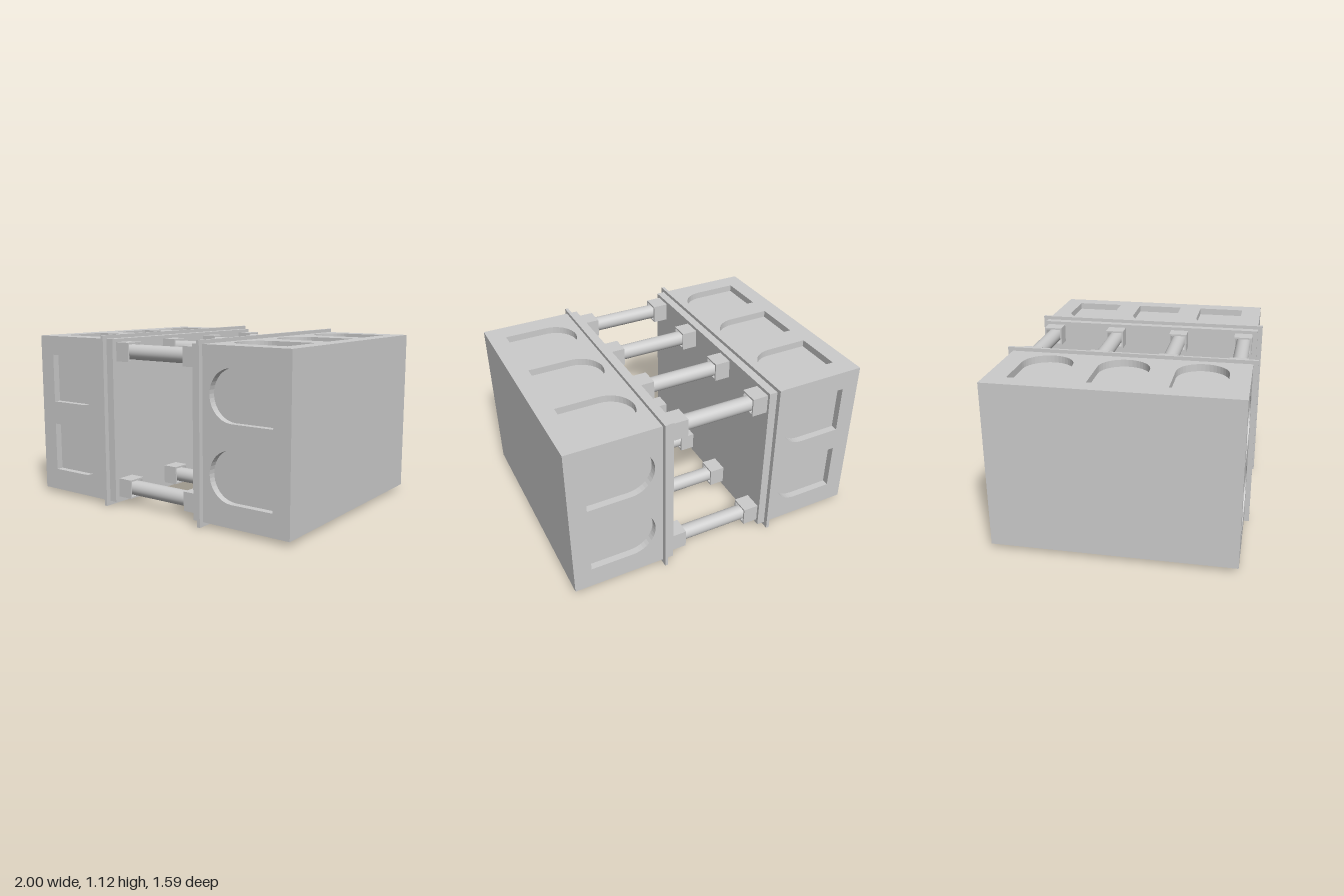
import * as THREE from 'three';

const grey = new THREE.MeshStandardMaterial({ color: 0xcccccc, side: THREE.DoubleSide });
const smooth = grey;

const BLOCK = { inner: 0.323, outer: 1, height: 1.064, depth: 1.526, midY: 0.56 };
const RECESS = 0.045;

function part(name, geometry, parent, x = 0, y = 0, z = 0) {
  const mesh = new THREE.Mesh(geometry, grey);
  mesh.name = name;
  mesh.position.set(x, y, z);
  parent.add(mesh);
  return mesh;
}

// Pocket outline: square outer end, rounded end towards the middle
function pocketPoints(side, v) {
  const half = 0.16;
  const pts = [new THREE.Vector2(side * 0.885, v - half), new THREE.Vector2(side * 0.885, v + half)];
  for (let i = 0; i <= 20; i++) {
    const a = Math.PI / 2 - (i / 20) * Math.PI;
    pts.push(new THREE.Vector2(side * (0.605 - 0.158 * Math.cos(a)), v + half * Math.sin(a)));
  }
  return pts;
}

// Side walls of a pocket, running from the face down to its floor
function pocketWall(pts) {
  const pos = [];
  pts.forEach((p, i) => {
    const q = pts[(i + 1) % pts.length];
    pos.push(p.x, p.y, 0, q.x, q.y, 0, q.x, q.y, -RECESS);
    pos.push(p.x, p.y, 0, q.x, q.y, -RECESS, p.x, p.y, -RECESS);
  });
  const g = new THREE.BufferGeometry();
  g.setAttribute('position', new THREE.Float32BufferAttribute(pos, 3));
  g.computeVertexNormals();
  return g;
}

// One long face of a block, with its row of pockets
function pocketedFace(name, side, height, rows) {
  const face = new THREE.Group();
  face.name = name;
  const h = height / 2;
  const a = side * BLOCK.inner, b = side * BLOCK.outer;
  const outline = new THREE.Shape([[a, -h], [b, -h], [b, h], [a, h]].map(p => new THREE.Vector2(...p)));
  for (const v of rows) {
    const pts = pocketPoints(side, v);
    outline.holes.push(new THREE.Path(pts));
    part('pocketWall', pocketWall(pts), face);
    part('pocketFloor', new THREE.ShapeGeometry(new THREE.Shape(pts)), face, 0, 0, -RECESS);
  }
  part('panel', new THREE.ShapeGeometry(outline), face);
  return face;
}

function endBlock(side) {
  const block = new THREE.Group();
  block.name = side > 0 ? 'leftBlock' : 'rightBlock';
  block.position.y = BLOCK.midY;
  const { height, depth } = BLOCK;
  const shift = side > 0 ? -0.01 : 0.002;
  const columns = [-0.475, 0, 0.475].map(z => z + shift);
  const rows = [0.245, -0.23];

  const front = pocketedFace('frontFace', side, height, rows);
  front.position.z = depth / 2;
  const back = pocketedFace('backFace', side, height, rows.map(v => -v));
  back.rotation.x = Math.PI;
  back.position.z = -depth / 2;
  const top = pocketedFace('topFace', side, depth, columns.map(z => -z));
  top.rotation.x = -Math.PI / 2;
  top.position.y = height / 2;
  const bottom = pocketedFace('bottomFace', side, depth, columns);
  bottom.rotation.x = Math.PI / 2;
  bottom.position.y = -height / 2;
  block.add(front, back, top, bottom);

  // Plain inner and outer ends
  const end = new THREE.PlaneGeometry(depth, height);
  part('outerEnd', end, block, side * BLOCK.outer).rotation.y = side * Math.PI / 2;
  part('innerEnd', end, block, side * BLOCK.inner).rotation.y = -side * Math.PI / 2;

  // Thin flange standing proud around the block
  part('flange', new THREE.BoxGeometry(0.021, 1.115, 1.59), block, side * 0.386, -0.0025, 0);
  return block;
}

// Square sleeve, hollow at the end that takes the rod
function socketGeometry(length) {
  const square = r => [[-r, -r], [r, -r], [r, r], [-r, r]].map(p => new THREE.Vector2(...p));
  const shape = new THREE.Shape(square(0.061));
  shape.holes.push(new THREE.Path(square(0.05)));
  return new THREE.ExtrudeGeometry(shape, { depth: length, bevelEnabled: false }).rotateY(Math.PI / 2);
}

function connector(y, z) {
  const group = new THREE.Group();
  group.name = 'connector';
  group.position.set(0, y, z);
  const rod = new THREE.CylinderGeometry(0.049, 0.049, BLOCK.inner * 2, 32).rotateZ(Math.PI / 2);
  part('rod', rod, group);
  const length = 0.102;
  const sleeve = socketGeometry(length);
  part('rightSocket', sleeve, group, -BLOCK.inner);
  part('leftSocket', sleeve, group, BLOCK.inner - length);
  return group;
}

export function createModel() {
  const model = new THREE.Group();
  model.name = 'blockFrame';
  for (const side of [-1, 1]) model.add(endBlock(side));
  // Upper and lower rows of rods
  for (const y of [0.12, 1.01]) {
    for (const z of [-0.683, -0.233, 0.217, 0.669]) model.add(connector(y, z));
  }
  return model;
}
